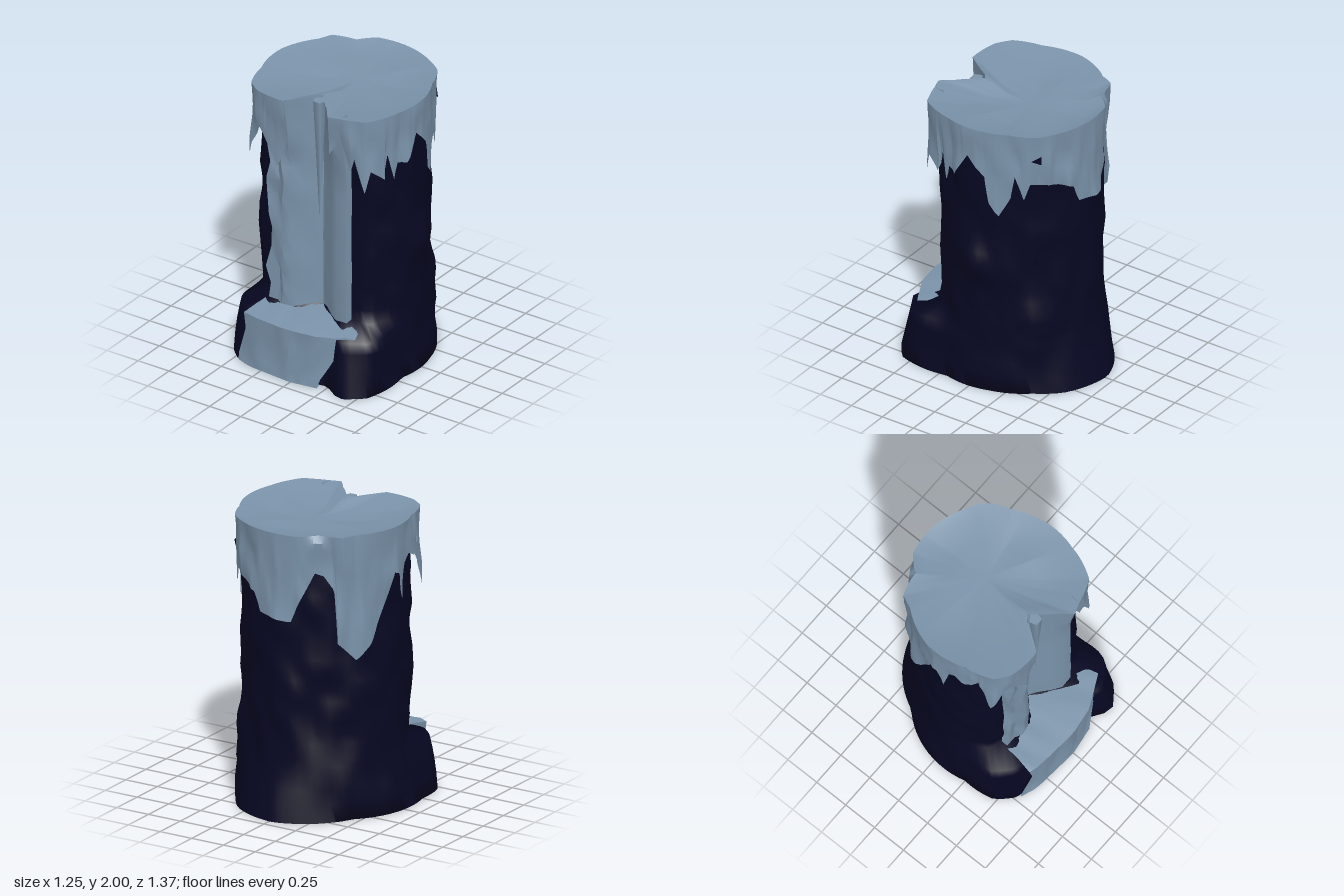
import * as THREE from 'three';
import { toCreasedNormals } from 'three/addons/utils/BufferGeometryUtils.js';

const ice = new THREE.MeshStandardMaterial({ color: 0x7a92a9, side: THREE.DoubleSide });
ice.name = 'pale ice';
const rock = new THREE.MeshStandardMaterial({ color: 0x060622, side: THREE.DoubleSide });
rock.name = 'dark rock';

// Outlines as flat [degrees, value] pairs; 0 is the front, 90 is +x
const BASE = [0, .62, 21, .62, 25, .67, 30, .79, 44, .79, 71, .61, 90, .6, 104, .59, 133, .6, 151, .65, 182, .69,
  206, .635, 232, .57, 258, .61, 292, .66, 309, .76, 322, .76, 330, .69, 340, .64, 360, .62];
const PILLAR = [0, .25, 20, .36, 37, .46, 50, .56, 75, .56, 100, .55, 120, .55, 135, .555, 155, .57, 180, .59, 206, .56,
  225, .545, 260, .56, 290, .575, 306, .57, 317, .5, 340, .36, 360, .25];
const RIM = [0, .28, 8.4, .344, 16.8, .449, 21, .557, 30, .57, 39, .6, 46, .63, 70, .59, 95, .58, 117, .57, 135, .61,
  149, .6, 163, .6, 180, .6, 195, .6, 208, .54, 224, .61, 233, .58, 261, .6, 290, .59, 309, .64, 320, .62,
  331.6, .568, 341.2, .528, 345.3, .434, 352.6, .313, 360, .28];
// Height of the ragged lower edge of the ice curtain
const HEM = [21, 1.7, 30, 1.83, 37, 1.6, 39, 1.7, 45, 1.46, 49, 1.62, 59, 1.53, 62, 1.7, 67, 1.5, 70, 1.62, 77, 1.6,
  87, 1.78, 100, 1.65, 103, 1.45, 110, 1.36, 118, 1.5, 121, 1.68, 127, 1.5, 131, 1.62, 150, 1.6, 161, 1.55,
  166, 1.42, 190, 1.39, 194, 1.5, 200, 1.62, 206, 1.74, 212, 1.72, 219, 1.62, 221, 1.25, 234, 1.12, 248, 1.25,
  259, 1.5, 264, 1.68, 269, 1.66, 274, 1.45, 278, 1.7, 283, 1.76, 290, 1.72, 300, 1.78, 307, 1.45, 313, 1.6,
  319, 1.72, 326, 1.6, 333, 1.47, 341, 1.7];
// Depth of the ledge ice along x
const LEDGE = [-.47, .6, -.35, .645, 0, .675, .2, .645, .43, .53];
// Bulges in the rock: degrees, height, spread, tallness, amount
const KNOBS = [[92, .96, 14, .16, .06], [135, .48, 28, .24, .05], [225, .3, 25, .25, .03]];

const lerp = THREE.MathUtils.lerp;
function sample(table, x) {
  for (let i = 2; i < table.length; i += 2) {
    if (x <= table[i]) {
      const t = (x - table[i - 2]) / (table[i] - table[i - 2]);
      return lerp(table[i - 1], table[i + 1], Math.max(0, t));
    }
  }
  return table[table.length - 1];
}

// Seeded lumps: one random value per cell, blended between cells
function hash(i, j) {
  const s = Math.sin(i * 127.1 + j * 311.7 + 4.3) * 43758.5453;
  return (s - Math.floor(s)) * 2 - 1;
}
// The angle wraps round after 'cells' cells
function lump(deg, cells, v) {
  const u = deg / 360 * cells, i = Math.floor(u), j = Math.floor(v), a = u - i, b = v - j;
  const at = (p, q) => hash(p % cells, q);
  return lerp(lerp(at(i, j), at(i + 1, j), a), lerp(at(i, j + 1), at(i + 1, j + 1), a), b);
}

function polar(deg, r, y) {
  const a = THREE.MathUtils.degToRad(deg);
  return [Math.sin(a) * r, y, Math.cos(a) * r];
}

// Skin over rows of points
function loft(name, rows, material, crease = 0.7) {
  const n = rows[0].length, index = [];
  for (let j = 0; j < rows.length - 1; j++) {
    for (let i = 0; i < n - 1; i++) {
      const a = j * n + i, b = a + n;
      index.push(a, a + 1, b, a + 1, b + 1, b);
    }
  }
  const geo = new THREE.BufferGeometry();
  geo.setAttribute('position', new THREE.Float32BufferAttribute(rows.flat(2), 3));
  geo.setIndex(index);
  const mesh = new THREE.Mesh(toCreasedNormals(geo, crease), material);
  mesh.name = name;
  return mesh;
}

const steps = (n, fn) => Array.from({ length: n + 1 }, (_, i) => fn(i / n));
const fromFront = (deg) => Math.min(deg, 360 - deg);

// Radius of the rock: a foot that tapers at the back and forms a ledge in front
function rockRadius(deg, y) {
  const foot = sample(BASE, deg), shaft = sample(PILLAR, deg), off = fromFront(deg);
  const taper = lerp(0.22, 0.9, THREE.MathUtils.smoothstep(off, 50, 85));
  let r = y < 0.39 ? lerp(foot, shaft, taper * y / 0.38) : shaft;
  for (const [d, h, spread, tall, amount] of KNOBS) {
    r += amount * Math.max(0, 1 - Math.hypot((deg - d) / spread, (y - h) / tall));
  }
  const rough = off < 42 ? 0.004 : 0.02;
  return r + (y > 0 ? rough * lump(deg, 30, y / 0.15) : 0);
}

// The curtain hugs the rock, but hangs straight down near the front
function curtainRadius(deg, y) {
  const t = (y - sample(HEM, deg)) / (2 - sample(HEM, deg));
  const near = rockRadius(deg, y) + 0.015;
  const hang = lerp(fromFront(deg) < 60 ? 0.85 : 0.2, 1, t);
  const r = lerp(near, sample(RIM, deg), hang) + 0.025 * lump(deg, 50, y / 0.2) * Math.min(1, 2 * (1 - t));
  return t > 0.999 ? sample(RIM, deg) : Math.max(near, r);
}

function createModel() {
  const model = new THREE.Group();
  model.name = 'frozenPillar';

  // Rock with its underside
  const heights = [0, 0.12, 0.22, 0.3, 0.38, 0.43];
  for (let y = 0.525; y < 1.95; y += 0.075) heights.push(y);
  const ring = (fn) => steps(90, (t) => fn(t * 360));
  const rockRows = heights.map((y) => ring((d) => polar(d, rockRadius(d, y), y)));
  rockRows.unshift(ring(() => [0, 0, 0]));
  model.add(loft('rockPillar', rockRows, rock, 1.7));

  // Slightly dished ice on top
  const capRing = (fn) => steps(360, (t) => fn(t * 360));
  const capRows = [[1, 2, 0], [0.82, 1.98, .015], [0.5, 1.965, .02], [0, 1.955, 0]].map(([k, y, wave], j) => capRing((d) => {
    const p = polar(d, sample(RIM, d) * k, y + wave * lump(d, 10, j));
    return [p[0] + 0.03 * (1 - k), p[1], p[2] - 0.11 * (1 - k)];
  }));
  model.add(loft('iceCap', capRows, ice, 1.2));

  // Ragged curtain hanging from the rim
  const curtainRows = steps(6, (t) => steps(320, (s) => {
    const d = 21 + s * 320.2, y = lerp(sample(HEM, d), 2, t);
    return polar(d, curtainRadius(d, y), y);
  }));
  model.add(loft('iceCurtain', curtainRows, ice));

  // Small bare patch in the curtain
  const patch = [[131.5, 1.815], [138, 1.785], [138, 1.85]].map(([d, y]) => polar(d, curtainRadius(d, y) + 0.012, y));
  model.add(loft('barePatch', [[patch[0], patch[1]], [patch[2], patch[2]]], rock));

  // Frozen fall with a creased middle, flaring out to the rim
  const fall = [[-.36, .36], [-.34, .42], [-.27, .4], [-.22, .43], [-.16, .42], [-.1, .37], [-.04, .31], [0, .28],
    [.05, .31], [.13, .38], [.2, .42], [.28, .42], [.29, .36]];
  const lip = [[-.36, .48], [-.34, .49], [-.27, .5], [-.22, .5], [-.17, .5], [-.11, .42], [-.04, .31], [0, .28],
    [.05, .34], [.13, .43], [.2, .52], [.28, .493], [.29, .42]];
  const fallRows = steps(12, (t) => fall.map(([x, z], i) => {
    const y = lerp(0.4, 2, t), f = Math.max(0, (y - 1.5) / 0.5);
    const inner = i > 0 && i < fall.length - 1 && t < 1 ? 1 : 0;
    const rough = inner * (x < -0.05 ? 0.02 : 0.003);
    return [lerp(x, lip[i][0], f) + rough * hash(i, t * 12), y, lerp(z, lip[i][1], f) + rough * hash(i + 40, t * 12)];
  }));
  model.add(loft('frozenFall', fallRows, ice, 0.9));

  // Ice spilling over the ledge: underside, front face, then the flat top
  const spill = [ // left x, right x, y, share of the ledge depth
    [-.42, .18, .002, .88], [-.46, .2, .005, 1], [-.45, .22, .07, 1], [-.42, .27, .16, 1], [-.38, .33, .28, 1],
    [-.4, .43, .395, 1], [-.38, .4, .41, .8], [-.36, .3, .42, .42]];
  const spillRows = spill.map(([x0, x1, y, share], j) => steps(14, (t) => {
    const x = lerp(x0, x1, t), loose = j > 1 && j < 5 && t > 0 && t < 1 ? 1 : 0;
    return [x + loose * 0.015 * hash(t * 14 + 9, j), y + (loose * 0.025 + (j > 4 ? 0.006 : 0)) * hash(t * 14, j),
      sample(LEDGE, x) * share + 0.005 + loose * 0.012 * (hash(t * 14 + 20, j) - 0.6)];
  }));
  model.add(loft('ledgeIce', spillRows, ice, 0.9));

  // Long icicle in the crease of the fall
  const icicle = new THREE.Mesh(new THREE.ConeGeometry(0.045, 0.9, 5), ice);
  icicle.rotation.x = Math.PI;
  icicle.position.set(0.01, 1.54, 0.34);
  icicle.name = 'icicle';
  model.add(icicle);
  return model;
}

export { createModel };
